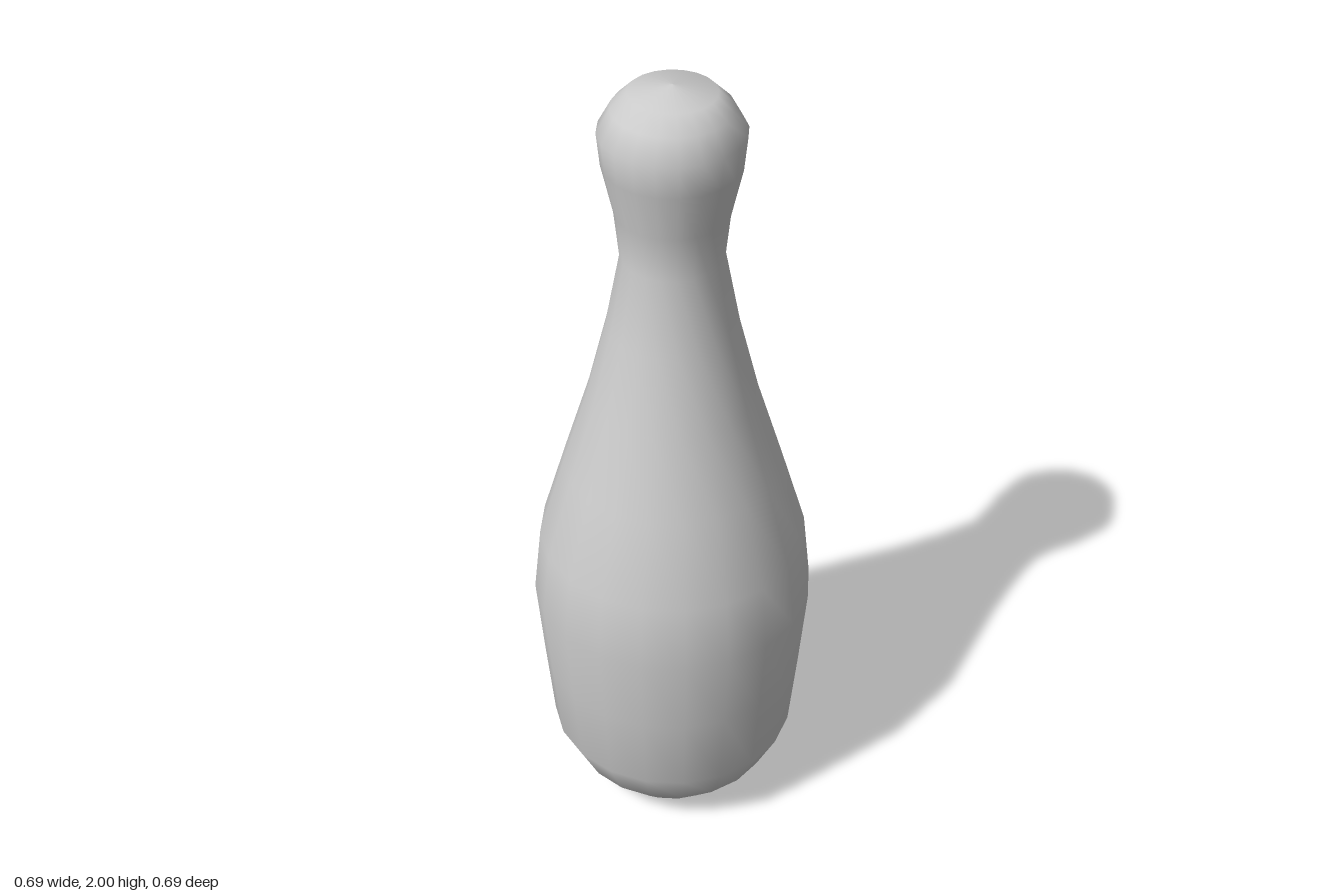
import * as THREE from 'three';

const SIDES = 20;
const BASE_RADIUS = 0.165;

// Silhouette as [radius, height], from the foot up to the crown
const PROFILE = [
  [BASE_RADIUS, 0], [0.253, 0.095], [0.305, 0.2], [0.325, 0.41],
  [0.343, 0.62], [0.325, 0.79], [0.263, 1.0], [0.202, 1.2],
  [0.155, 1.39], [0.12, 1.575], [0.132, 1.69], [0.159, 1.81],
  [0.167, 1.89], [0.137, 1.945], [0.1, 1.982], [0, 2],
];

export function createModel() {
  const group = new THREE.Group();
  group.name = 'bowlingPin';
  const material = new THREE.MeshStandardMaterial({ color: 0xcccccc });

  // Smooth turned body with belly, neck and round head
  const points = PROFILE.map(([r, y]) => new THREE.Vector2(r, y));
  const body = new THREE.Mesh(new THREE.LatheGeometry(points, SIDES), material);
  body.name = 'body';
  group.add(body);

  // Flat underside, kept separate for a sharp edge
  const base = new THREE.Mesh(new THREE.CircleGeometry(BASE_RADIUS, SIDES), material);
  base.name = 'base';
  base.rotation.x = Math.PI / 2;
  group.add(base);

  return group;
}
